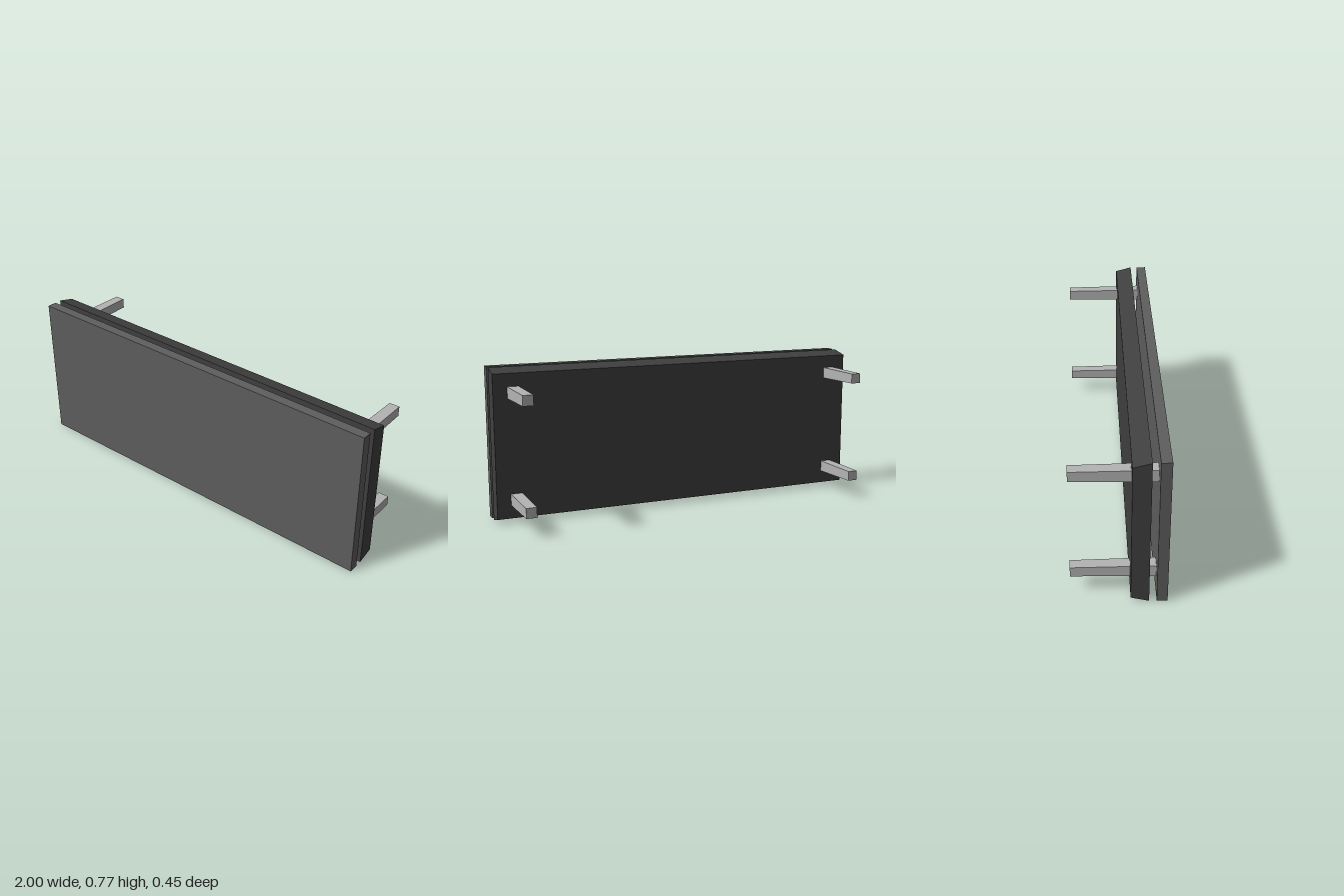
import * as THREE from 'three';

const mat = (name, color) => new THREE.MeshStandardMaterial({ name, color });

// Box whose back end (-z) is scaled in x and y
function taperedBox(w, h, d, sx, sy) {
  const g = new THREE.BoxGeometry(w, h, d);
  const p = g.attributes.position;
  for (let i = 0; i < p.count; i++) {
    if (p.getZ(i) < 0) p.setXY(i, p.getX(i) * sx, p.getY(i) * sy);
  }
  g.computeVertexNormals();
  return g;
}

export function createModel() {
  const group = new THREE.Group();
  const panelGrey = mat('panelGrey', 0x5e5e5e);
  const darkGrey = mat('darkGrey', 0x404040);
  const lightGrey = mat('lightGrey', 0xb4b4b4);
  const H = 0.772;

  const add = (name, geometry, material, x, y, z) => {
    const mesh = new THREE.Mesh(geometry, material);
    mesh.name = name;
    mesh.position.set(x, y, z);
    group.add(mesh);
  };

  // Front plate
  add('frontPanel', new THREE.BoxGeometry(2, H, 0.05), panelGrey, 0, H / 2, 0.198);

  // Backing plate, bevelled along its top and bottom
  add('backPanel', taperedBox(2, H, 0.085, 1, 0.942), darkGrey, 0, H / 2, 0.0955);

  // Four slightly tapered pegs running through the backing plate
  const peg = taperedBox(0.06, 0.061, 0.396, 0.88, 0.84);
  for (const x of [-0.9, 0.9]) {
    for (const y of [0.118, 0.655]) add('mountingPeg', peg, lightGrey, x, y, -0.025);
  }
  return group;
}
